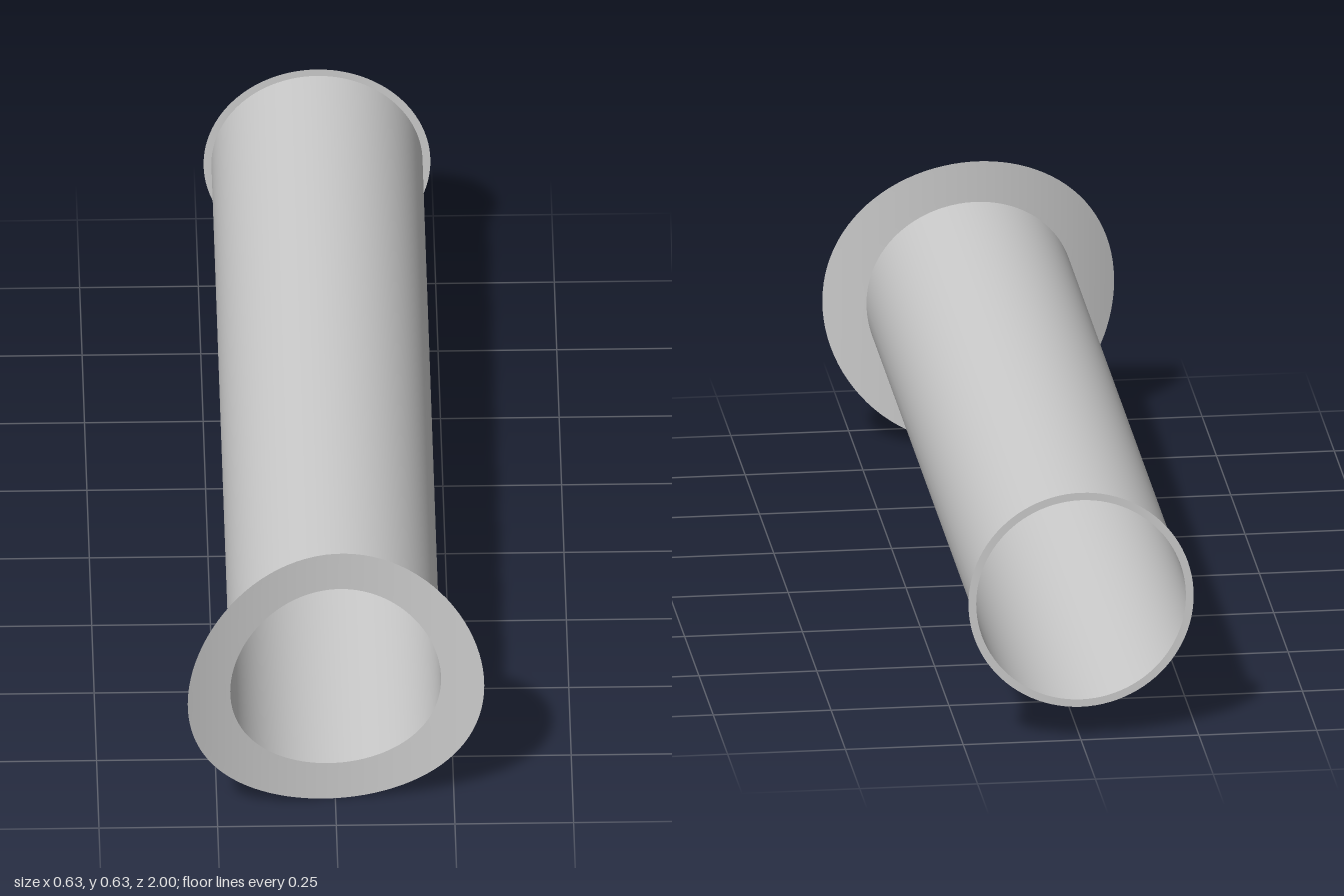
import * as THREE from 'three';

const SEGMENTS = 96;
const BORE = 0.2225;    // pipe radius
const FLANGE = 0.313;   // saddle flange radius, also the axis height
const LIP = 0.239;      // rear lip radius
const BACK = -1;

// Saddle face: part of a vertical cylinder, slightly off-centre in x
function saddleZ(x) {
  const radius = 0.745, apexX = 0.06, apexZ = 0.897;
  return apexZ + radius - Math.sqrt(radius ** 2 - (x - apexX) ** 2);
}

// Loft circles about the z axis; each ring is { r, z(x) }
function loft(name, rings) {
  const positions = [], indices = [];
  const row = SEGMENTS + 1;
  rings.forEach(({ r, z }, j) => {
    for (let i = 0; i <= SEGMENTS; i++) {
      const a = (i % SEGMENTS) / SEGMENTS * Math.PI * 2;
      const x = r * Math.cos(a);
      positions.push(x, FLANGE + r * Math.sin(a), z(x));
      if (j > 0 && i < SEGMENTS) {
        const p = (j - 1) * row + i, q = p + row;
        indices.push(p, q, p + 1, p + 1, q, q + 1);
      }
    }
  });
  const geometry = new THREE.BufferGeometry();
  geometry.setAttribute('position', new THREE.Float32BufferAttribute(positions, 3));
  geometry.setIndex(indices);
  geometry.computeVertexNormals();
  // Share the normal across the seam
  const n = geometry.attributes.normal;
  rings.forEach((_, j) => {
    const a = j * row, b = a + SEGMENTS;
    const v = new THREE.Vector3().fromBufferAttribute(n, a)
      .add(new THREE.Vector3().fromBufferAttribute(n, b)).normalize();
    n.setXYZ(a, v.x, v.y, v.z);
    n.setXYZ(b, v.x, v.y, v.z);
  });
  const mesh = new THREE.Mesh(geometry, new THREE.MeshStandardMaterial({
    color: 0xcccccc, side: THREE.DoubleSide,
  }));
  mesh.name = name;
  return mesh;
}

export function createModel() {
  const group = new THREE.Group();
  group.name = 'flangedPipe';
  const flat = () => BACK;

  // Thin open pipe, its front end cut to the saddle curve
  group.add(loft('pipe', [{ r: BORE, z: saddleZ }, { r: BORE, z: flat }]));

  // Curved flange around the front opening
  const flangeRings = [];
  for (let j = 0; j <= 6; j++) {
    flangeRings.push({ r: THREE.MathUtils.lerp(BORE, FLANGE, j / 6), z: saddleZ });
  }
  group.add(loft('saddleFlange', flangeRings));

  // Narrow flat lip around the rear opening
  group.add(loft('rearLip', [{ r: LIP, z: flat }, { r: BORE, z: flat }]));

  return group;
}
